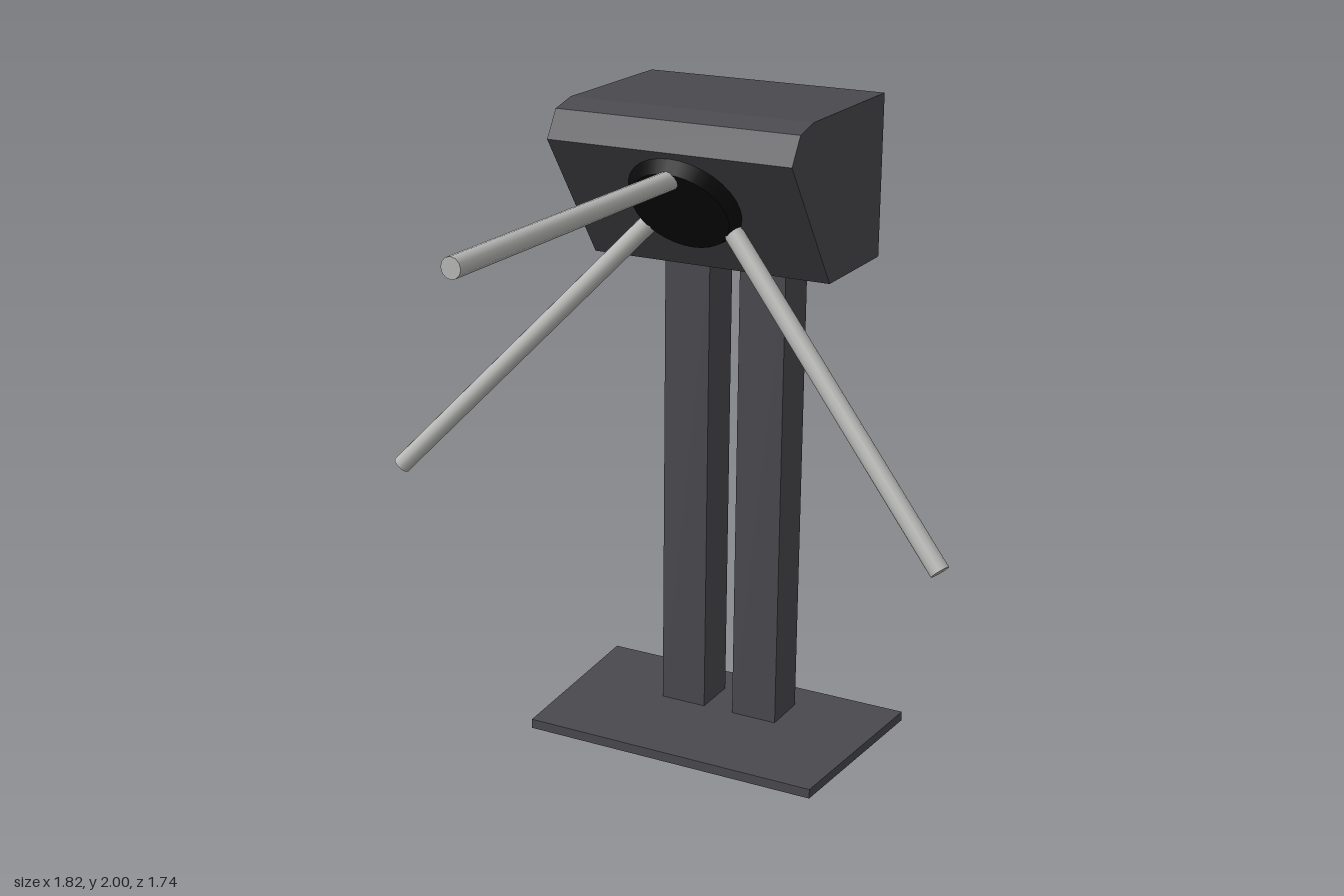
import * as THREE from 'three';

export function createModel() {
  const model = new THREE.Group();
  model.name = 'tripodTurnstile';

  const paintedSteel = new THREE.MeshStandardMaterial({ name: 'paintedSteel', color: 0x4a494e });
  const blackHub = new THREE.MeshStandardMaterial({ name: 'blackHub', color: 0x0b0b0b });
  const brushedSteel = new THREE.MeshStandardMaterial({ name: 'brushedSteel', color: 0xb8b8b6 });

  const add = (name, geometry, material) => {
    const mesh = new THREE.Mesh(geometry, material);
    mesh.name = name;
    model.add(mesh);
    return mesh;
  };
  const prism = (points, depth) => new THREE.ExtrudeGeometry(
    new THREE.Shape(points.map(([x, y]) => new THREE.Vector2(x, y))),
    { depth, bevelEnabled: false });
  const up = new THREE.Vector3(0, 1, 0);

  // Floor plate, slightly wider at the back
  add('basePlate', prism(
    [[-0.482, 0.25], [0.482, 0.25], [0.52, 0.868], [-0.52, 0.868]], 0.03
  ).rotateX(-Math.PI / 2), paintedSteel);

  // Twin posts
  for (const side of [-1, 1]) {
    add(side > 0 ? 'leftPost' : 'rightPost',
      new THREE.BoxGeometry(0.15, 1.48, 0.15).translate(side * 0.125, 0.77, -0.675), paintedSteel);
  }

  // Housing: side profile as (z, y), extruded across the width
  add('housing', prism(
    [[-0.85, 1.51], [-0.5, 1.51], [-0.225, 1.9], [-0.275, 1.98], [-0.36, 2], [-0.85, 2]], 0.77
  ).rotateY(-Math.PI / 2).translate(0.385, 0, 0), paintedSteel);

  // Tapered hub on the sloping face
  const normal = new THREE.Vector3(0, -0.275, 0.39).normalize();
  const hub = add('hub', new THREE.CylinderGeometry(0.152, 0.18, 0.045, 32), blackHub);
  hub.quaternion.setFromUnitVectors(up, normal);
  hub.position.set(0, 1.738, -0.339).addScaledVector(normal, 0.0145);

  // Three barrier arms, from hub to tip
  const addArm = (name, root, tip) => {
    const start = new THREE.Vector3(...root), end = new THREE.Vector3(...tip);
    const direction = end.clone().sub(start);
    const arm = add(name, new THREE.CylinderGeometry(0.029, 0.029, direction.length(), 12), brushedSteel);
    arm.position.copy(start).add(end).multiplyScalar(0.5);
    arm.quaternion.setFromUnitVectors(up, direction.normalize());
  };
  addArm('frontArm', [0, 1.819, -0.26], [0, 1.829, 0.868]);
  addArm('leftArm', [0.13, 1.66, -0.383], [0.888, 0.842, -0.168]);
  addArm('rightArm', [-0.13, 1.66, -0.383], [-0.888, 0.842, -0.168]);

  return model;
}
